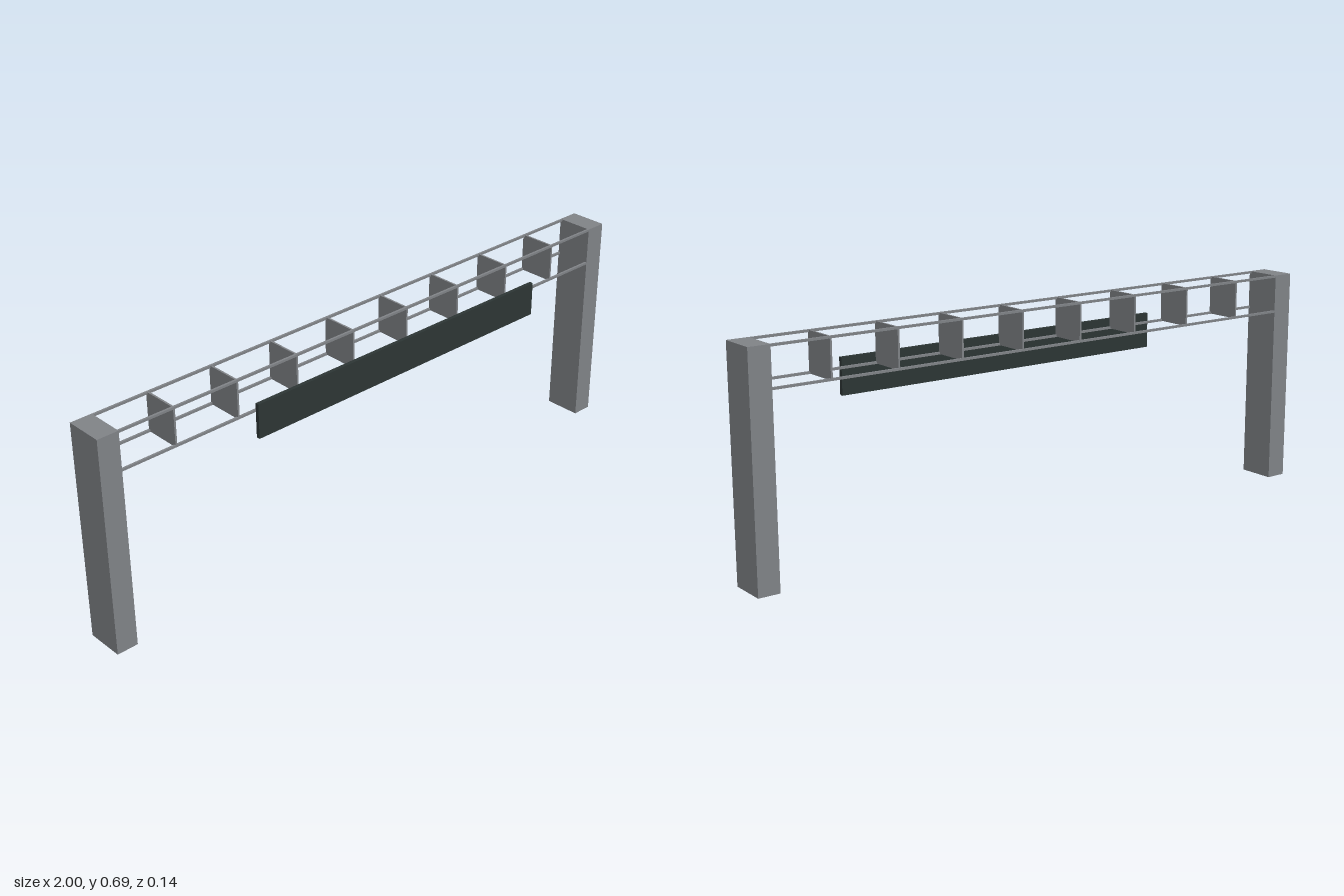
import * as THREE from 'three';

export function createModel() {
  const model = new THREE.Group();
  model.name = 'signGantry';

  const steel = new THREE.MeshStandardMaterial({ color: 0x7f8286, side: THREE.DoubleSide });
  steel.name = 'grey steel';
  const dark = new THREE.MeshStandardMaterial({ color: 0x2c3534 });
  dark.name = 'dark panel';

  const top = 0.69, low = 0.566, back = -0.068, front = 0.052, legInner = 0.932;

  // Box given by its minimum and maximum corners
  function addBox(name, material, [x0, y0, z0], [x1, y1, z1]) {
    const geometry = new THREE.BoxGeometry(x1 - x0, y1 - y0, z1 - z0);
    const mesh = new THREE.Mesh(geometry, material);
    mesh.position.set((x0 + x1) / 2, (y0 + y1) / 2, (z0 + z1) / 2);
    mesh.name = name;
    model.add(mesh);
    return mesh;
  }

  // Hollow legs, open at the foot
  for (const [name, x0, x1] of [['rightLeg', -1, -legInner], ['leftLeg', legInner, 1]]) {
    const leg = addBox(name, steel, [x0, 0, back], [x1, top, front]);
    const index = Array.from(leg.geometry.index.array);
    index.splice(18, 6); // drop the underside
    leg.geometry.setIndex(index);
    leg.geometry.clearGroups();
  }

  // Four thin rails between the legs
  const t = 0.007;
  for (const [yName, y] of [['upper', top - t], ['lower', low]]) {
    for (const [zName, z] of [['Front', front - t], ['Back', back]]) {
      addBox(yName + zName + 'Rail', steel, [-legInner, y, z], [legInner, y + t, z + t]);
    }
  }

  // Evenly spaced square plates bracing the rails
  for (let i = 0; i < 8; i++) {
    const x = -0.754 + i * 0.215;
    addBox('bracePlate' + (i + 1), steel,
      [x - 0.003, low + 0.001, back + 0.001], [x + 0.003, top - 0.001, front - 0.001]);
  }

  // Long sign panel hung off-centre in front of the truss
  addBox('signPanel', dark, [-0.483, 0.487, 0.056], [0.648, 0.597, 0.068]);

  return model;
}
